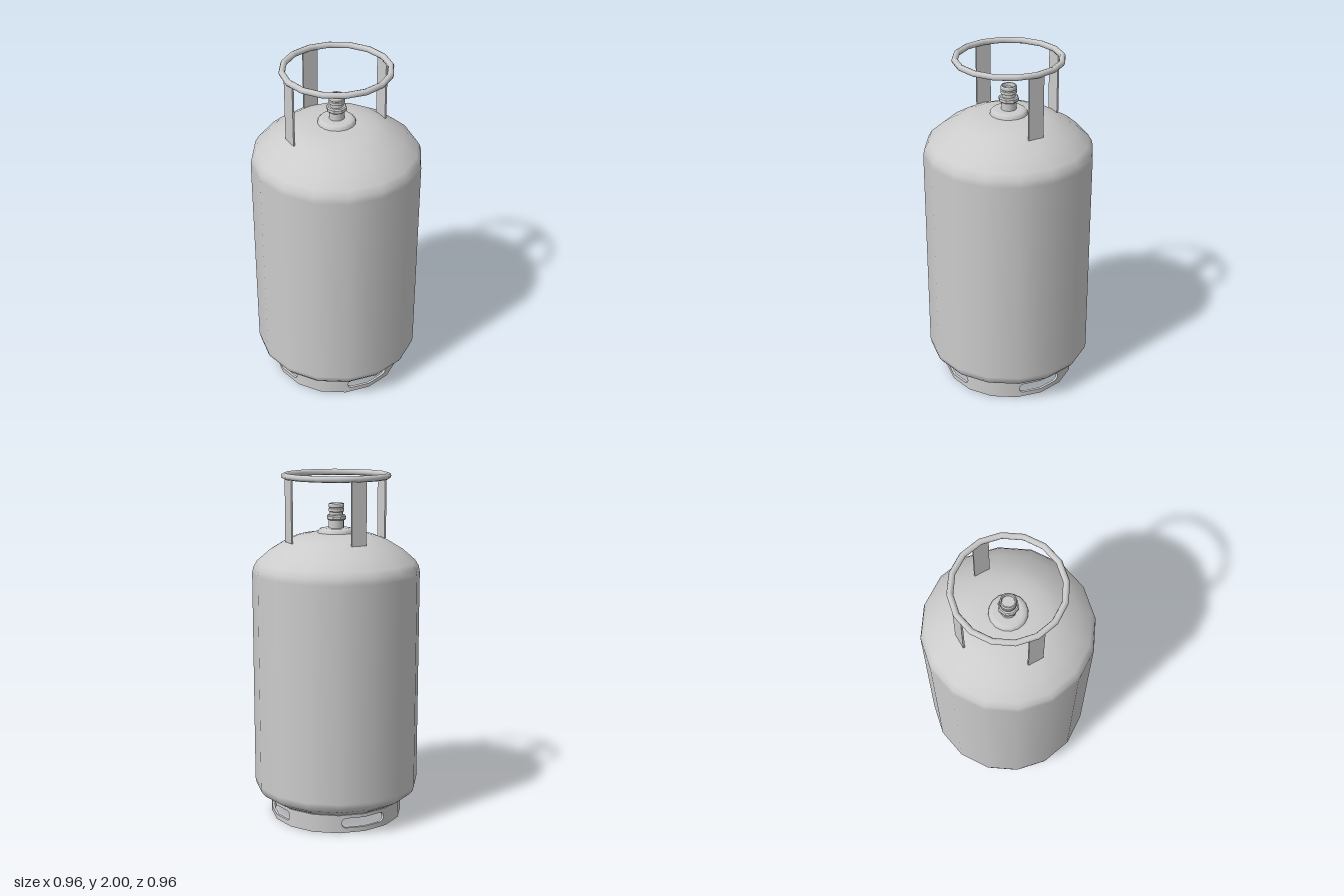
import * as THREE from 'three';

const SIDES = 16;
const grey = new THREE.MeshStandardMaterial({ color: 0xcccccc });
const faceted = new THREE.MeshStandardMaterial({ color: 0xcccccc, flatShading: true });

function add(parent, name, geometry, material = grey) {
  const mesh = new THREE.Mesh(geometry, material);
  mesh.name = name;
  parent.add(mesh);
  return mesh;
}

// Profile of [radius, height] pairs, listed so that the outside lies on the right
function lathe(profile, sides = SIDES) {
  return new THREE.LatheGeometry(profile.map(([r, y]) => new THREE.Vector2(r, y)), sides);
}

// One facet of the foot ring; slotSide 1 or -1 cuts half a slot from its start or end
function footFacet(index, slotSide) {
  const R = 0.385, T = 0.015, H = 0.105;
  const low = 0.028, high = 0.085, r = (high - low) / 2;
  const len = 2 * R * Math.sin(Math.PI / SIDES);
  const pts = [[0, 0], [len, 0], [len, H], [0, H]];
  if (slotSide) {
    pts.push([0, high]);
    for (let k = 0; k <= 8; k++) {
      const a = Math.PI / 2 - (k / 8) * Math.PI;
      pts.push([0.136 - r + r * Math.cos(a), (low + high) / 2 + r * Math.sin(a)]);
    }
    pts.push([0, low]);
  }
  const shape = new THREE.Shape(pts.map(([u, y]) => new THREE.Vector2(slotSide < 0 ? len - u : u, y)));
  const geo = new THREE.ExtrudeGeometry(shape, { depth: T, bevelEnabled: false });

  // Wrap the flat panel onto its facet, mitred at both ends
  const pos = geo.attributes.position;
  const flatNormal = geo.attributes.normal.clone();
  const a0 = (index / SIDES) * Math.PI * 2, a1 = ((index + 1) / SIDES) * Math.PI * 2;
  for (let i = 0; i < pos.count; i++) {
    const t = pos.getX(i) / len, rad = R - T + pos.getZ(i);
    pos.setXYZ(i,
      rad * THREE.MathUtils.lerp(Math.sin(a0), Math.sin(a1), t),
      pos.getY(i),
      rad * THREE.MathUtils.lerp(Math.cos(a0), Math.cos(a1), t));
  }
  geo.computeVertexNormals();

  // Inner and outer walls shade smoothly around the ring
  for (let i = 0; i < pos.count; i++) {
    const s = Math.round(flatNormal.getZ(i));
    if (!s) continue;
    const d = Math.hypot(pos.getX(i), pos.getZ(i));
    geo.attributes.normal.setXYZ(i, s * pos.getX(i) / d, 0, s * pos.getZ(i) / d);
  }
  return geo;
}

export function createModel() {
  const model = new THREE.Group();
  model.name = 'gasCylinder';

  // Tank shell with rounded shoulders
  add(model, 'tank', lathe([
    [0.37, 0.1], [0.41, 0.122], [0.455, 0.15], [0.474, 0.175], [0.48, 0.205],
    [0.48, 1.435], [0.473, 1.47], [0.452, 1.505], [0.38, 1.567], [0.29, 1.622],
    [0.22, 1.648], [0.14, 1.662], [0, 1.668],
  ]));
  const base = add(model, 'tankBase', new THREE.CircleGeometry(0.372, SIDES));
  base.rotation.x = Math.PI / 2;
  base.position.y = 0.1;

  // Foot ring with a slot on each of the four sides
  const foot = new THREE.Group();
  foot.name = 'footRing';
  model.add(foot);
  for (let i = 0; i < SIDES; i++) {
    const k = i % 4;
    add(foot, 'footFacet', footFacet(i, k === 0 ? 1 : k === 3 ? -1 : 0));
  }

  // Handle: ring on three straps, open towards the front
  const handle = new THREE.Group();
  handle.name = 'handle';
  model.add(handle);
  const ring = add(handle, 'handleRing', new THREE.TorusGeometry(0.293, 0.0175, 8, SIDES));
  ring.rotation.x = Math.PI / 2;
  ring.position.y = 1.9825;
  for (const angle of [Math.PI / 2, Math.PI, -Math.PI / 2]) {
    const strap = add(handle, 'handleStrap', new THREE.BoxGeometry(0.09, 0.36, 0.01));
    strap.position.set(0.29 * Math.sin(angle), 1.8, 0.29 * Math.cos(angle));
    strap.rotation.y = angle;
  }

  // Valve: collar, stem, nut and open outlet
  const valve = new THREE.Group();
  valve.name = 'valve';
  model.add(valve);
  add(valve, 'valveCollar', lathe([[0.108, 1.655], [0.104, 1.675], [0.094, 1.686], [0.075, 1.69], [0, 1.69]]));
  const stem = add(valve, 'valveStem', new THREE.CylinderGeometry(0.043, 0.043, 0.06, SIDES));
  stem.position.y = 1.71;
  const nut = add(valve, 'valveNut', lathe([
    [0, 1.735], [0.05, 1.735], [0.057, 1.741], [0.057, 1.757], [0.05, 1.764], [0, 1.764],
  ], 8), faceted);
  nut.name = 'valveNut';
  const neck = add(valve, 'valveNeck', new THREE.CylinderGeometry(0.037, 0.037, 0.05, SIDES));
  neck.position.y = 1.78;
  add(valve, 'valveOutlet', lathe([
    [0.037, 1.78], [0.045, 1.784], [0.045, 1.8], [0.04, 1.804], [0.045, 1.808], [0.045, 1.822],
    [0.042, 1.828], [0.036, 1.828], [0.034, 1.808], [0, 1.808],
  ], SIDES), faceted);

  return model;
}
